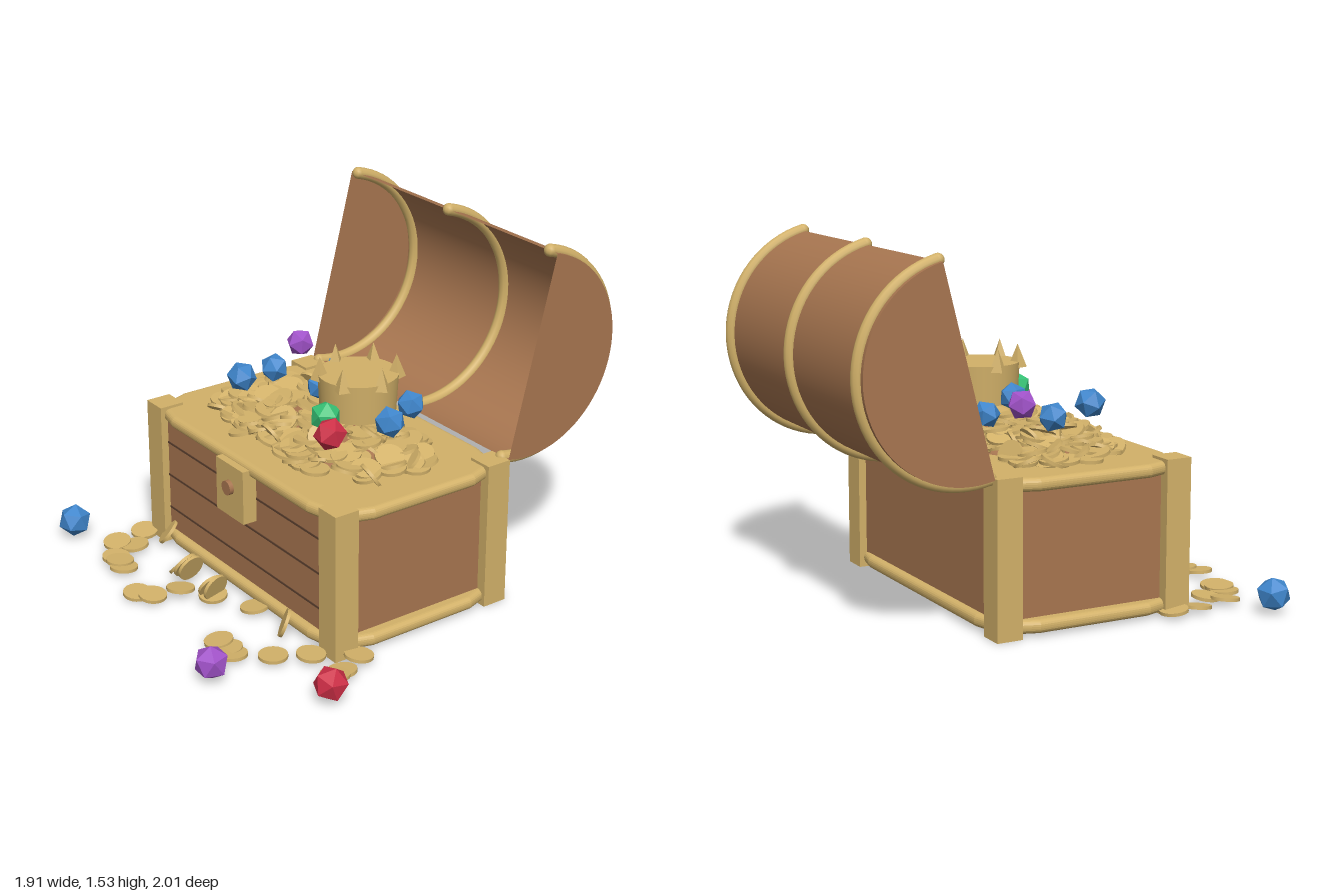
import * as THREE from 'three';

const mat = (name, color, extra = {}) => {
  const m = new THREE.MeshStandardMaterial({ color, ...extra });
  m.name = name;
  return m;
};

export function createModel() {
  const wood = mat('wood', 0xa87650, { side: THREE.DoubleSide });
  const groove = mat('dark groove', 0x5e4230);
  const gold = mat('gold', 0xd2b169);
  const blue = mat('blue gem', 0x3f86cc, { flatShading: true });
  const purple = mat('purple gem', 0xa052c8, { flatShading: true });
  const red = mat('red gem', 0xcc2e46, { flatShading: true });
  const green = mat('green gem', 0x35c074, { flatShading: true });

  const model = new THREE.Group();
  model.name = 'treasureChest';
  const add = (parent, name, geo, material, x = 0, y = 0, z = 0) => {
    const mesh = new THREE.Mesh(geo, material);
    mesh.name = name;
    mesh.position.set(x, y, z);
    parent.add(mesh);
    return mesh;
  };
  const group = (name, x = 0, y = 0, z = 0) => {
    const g = new THREE.Group();
    g.name = name;
    g.position.set(x, y, z);
    model.add(g);
    return g;
  };
  let seed = 11;
  const rand = () => {
    seed = (seed * 16807) % 2147483647;
    return seed / 2147483647;
  };
  const spread = (a) => (rand() * 2 - 1) * a;

  // Chest body with grooves between the front planks
  const chest = group('chest', -0.03, 0, 0.015);
  add(chest, 'body', new THREE.BoxGeometry(1.31, 0.56, 0.82), wood, 0, 0.335, 0);
  for (const y of [0.49, 0.333, 0.175])
    add(chest, 'plankGroove', new THREE.BoxGeometry(1.2, 0.009, 0.006), groove, 0, y, 0.41);

  // Rounded gold slabs at base and rim, with chamfered corners
  const outline = new THREE.Shape();
  const corner = [[0.685, 0.25], [0.64, 0.385], [0.5, 0.417]];
  const ring = [
    ...corner,
    ...corner.map(([x, z]) => [-x, z]).reverse(),
    ...corner.map(([x, z]) => [-x, -z]),
    ...corner.map(([x, z]) => [x, -z]).reverse(),
  ];
  outline.setFromPoints(ring.map(([x, z]) => new THREE.Vector2(x, z)));
  const slabGeo = new THREE.ExtrudeGeometry(outline, {
    depth: 0.008, bevelEnabled: true, bevelThickness: 0.024, bevelSize: 0.026, bevelSegments: 5,
  });
  slabGeo.translate(0, 0, -0.004).rotateX(-Math.PI / 2);
  add(chest, 'baseSlab', slabGeo, gold, 0, 0.047, 0);
  add(chest, 'rimSlab', slabGeo, gold, 0, 0.618, 0);

  // Corner posts
  const postGeo = new THREE.BoxGeometry(0.113, 0.652, 0.113);
  for (const x of [-1, 1])
    for (const z of [-1, 1])
      add(chest, 'cornerPost', postGeo, gold, x * 0.645, 0.332, z * 0.387);

  // Lock
  add(chest, 'lockPlate', new THREE.BoxGeometry(0.2, 0.24, 0.075), gold, 0, 0.506, 0.438);
  const knobGeo = new THREE.CylinderGeometry(0.032, 0.032, 0.04, 16).rotateX(Math.PI / 2);
  add(chest, 'lockKnob', knobGeo, wood, 0, 0.522, 0.475);

  // Open half-barrel lid, tipped back
  const lid = group('lid', -0.03, 1.08, -0.54);
  lid.rotation.x = -0.25;
  const R = 0.44;
  const shell = new THREE.CylinderGeometry(R, R, 1.38, 40, 1, true, Math.PI / 2, Math.PI);
  add(lid, 'lidShell', shell.rotateZ(Math.PI / 2), wood);
  const capGeo = new THREE.CircleGeometry(R, 40, -Math.PI / 2, Math.PI).rotateY(Math.PI / 2);
  for (const s of [-1, 1]) {
    const cap = add(lid, 'lidEnd', capGeo, wood, s * 0.69, 0, 0);
    if (s < 0) cap.rotation.z = Math.PI;
  }
  const ribGeo = new THREE.TorusGeometry(R + 0.002, 0.027, 10, 40, Math.PI);
  ribGeo.rotateZ(-Math.PI / 2).rotateY(Math.PI / 2);
  const tipGeo = new THREE.SphereGeometry(0.027, 10, 8);
  for (const x of [-0.645, 0, 0.645]) {
    add(lid, 'lidRib', ribGeo, gold, x);
    for (const s of [-1, 1]) add(lid, 'ribTip', tipGeo, gold, x, s * (R + 0.002), 0);
  }

  // Mound under the coins
  const mound = add(model, 'mound', new THREE.SphereGeometry(1, 32, 16), wood, 0, 0.62, 0);
  mound.scale.set(0.46, 0.1, 0.26);

  // Heaped coins
  const coinGeo = new THREE.CylinderGeometry(0.061, 0.061, 0.014, 20);
  const heap = group('coinHeap');
  for (let i = 0; i < 210; i++) {
    const a = rand() * Math.PI * 2;
    const d = Math.sqrt(rand());
    const squash = Math.pow(Math.abs(Math.cos(a)) ** 3 + Math.abs(Math.sin(a)) ** 3, -1 / 3);
    const x = -0.04 + Math.cos(a) * squash * d * 0.55;
    const z = 0.015 + Math.sin(a) * squash * d * 0.29;
    const y = 0.662 + (1 - d * d) * (0.03 + rand() * 0.085);
    const coin = add(heap, 'coin', coinGeo, gold, x, y, z);
    const tilt = i % 9 === 0 ? 0.95 : 0.42;
    coin.rotation.set(spread(tilt), rand() * 6, spread(tilt));
  }

  // Spilled coins, lying flat
  const spill = group('spilledCoins');
  const flat = [
    [-0.73, 0.5], [-0.7, 0.66], [-0.59, 0.73], [-0.49, 0.75], [-0.63, 0.61], [-0.74, 0.38],
    [-0.26, 0.82], [-0.2, 0.78], [-0.17, 0.66], [0.14, 0.49], [0.28, 0.76], [0.35, 0.76],
    [0.4, 0.77], [0.51, 0.65], [0.59, 0.52], [0.71, 0.37], [0.76, 0.49], [0.78, 0.54],
    [-0.54, 0.74], [-0.04, 0.58],
  ];
  for (const [x, z] of flat) {
    const coin = add(spill, 'flatCoin', coinGeo, gold, x, 0.026 + rand() * 0.012, z);
    coin.rotation.set(spread(0.13), 0, spread(0.13));
  }
  // Spilled coins, leaning on edge
  const leaning = [
    [-0.59, 0.46, 0.9, 0.9], [-0.31, 0.57, 0.5, 0.8], [-0.27, 0.57, 0.2, 1.1], [-0.23, 0.57, 0.1, 1.25],
    [-0.05, 0.58, 0, 1.1], [-0.02, 0.58, 0.2, 1.3], [0.39, 0.51, 0.9, 1.2],
  ];
  for (const [x, z, yaw, lean] of leaning) {
    const coin = add(spill, 'leaningCoin', coinGeo, gold, x, 0.02 + 0.062 * Math.sin(lean), z);
    coin.rotation.set(0, yaw, lean, 'YXZ');
  }

  // Crown with six pyramid points
  const crown = group('crown', 0.14, 0, -0.045);
  add(crown, 'crownBand', new THREE.CylinderGeometry(0.17, 0.16, 0.17, 32), gold, 0, 0.88, 0);
  const spikeGeo = new THREE.ConeGeometry(0.04, 0.1, 4).toNonIndexed();
  spikeGeo.computeVertexNormals();
  for (let i = 0; i < 6; i++) {
    const a = (i * Math.PI) / 3;
    const spike = add(crown, 'crownPoint', spikeGeo, gold,
      Math.cos(a) * 0.16, 0.99, Math.sin(a) * 0.16);
    spike.rotation.y = -a;
  }

  // Gems in the heap and on the ground
  const gems = group('gems');
  const gemGeo = new THREE.IcosahedronGeometry(1, 0);
  const stones = [
    [blue, -0.23, 0.81, -0.21, 0.06], [blue, -0.41, 0.81, 0, 0.064], [blue, -0.35, 0.84, 0.21, 0.066],
    [blue, -0.07, 0.84, 0, 0.06], [blue, 0.36, 0.87, -0.15, 0.062], [blue, 0.415, 0.85, 0, 0.067],
    [purple, -0.44, 0.88, -0.16, 0.063], [green, 0.18, 0.83, 0.15, 0.068], [red, 0.28, 0.8, 0.2, 0.071],
    [blue, -0.9, 0.088, 0.76, 0.074], [purple, 0.49, 0.09, 0.93, 0.074], [red, 0.89, 0.088, 0.64, 0.074],
  ];
  for (const [m, x, y, z, r] of stones) {
    const gem = add(gems, 'gem', gemGeo, m, x, y, z);
    gem.scale.setScalar(r);
    gem.rotation.set(spread(0.6), rand() * 6, spread(0.4));
  }
  return model;
}
